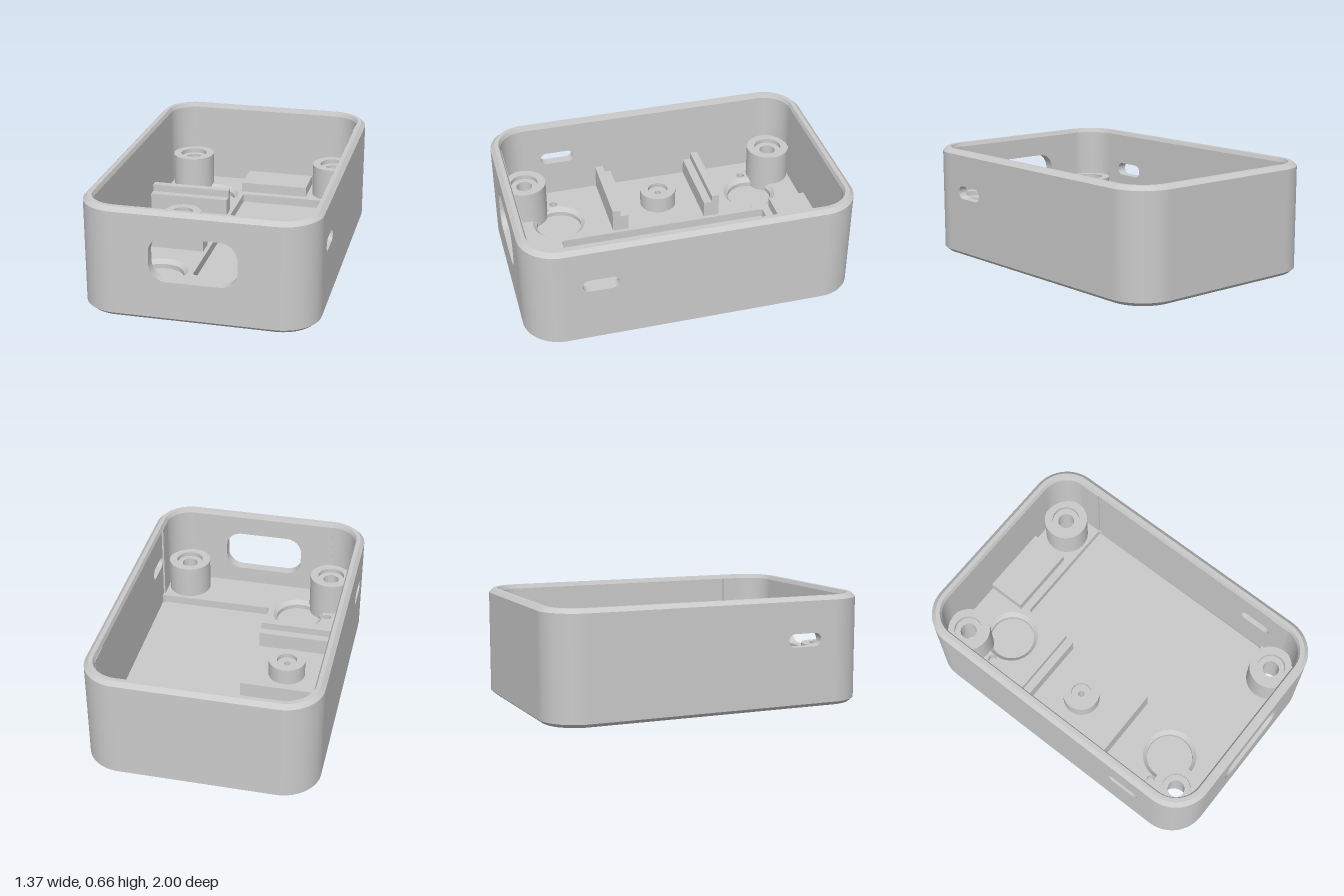
import * as THREE from 'three';
import { toCreasedNormals } from 'three/addons/utils/BufferGeometryUtils.js';

const CX = 0.46, CZ = 0.775;      // centres of the rounded corners
const FLOOR = 0.138, POCKET = 0.085; // inner floor heights
const WALL_LOW = 0.022, WALL_TOP = 0.636;

// Rounded rectangle centred on (x, y)
function roundRect(x, y, w, h, r, Type = THREE.Shape) {
  const s = new Type(), a = w / 2 - r, b = h / 2 - r, q = Math.PI / 2;
  s.absarc(x + a, y + b, r, 0, q);
  s.absarc(x - a, y + b, r, q, 2 * q);
  s.absarc(x - a, y - b, r, 2 * q, 3 * q);
  s.absarc(x + a, y - b, r, 3 * q, 4 * q);
  s.closePath();
  return s;
}
const circle = (x, z, r) => new THREE.Path().absarc(x, -z, r, 0, Math.PI * 2);
const extrude = (shape, depth) =>
  new THREE.ExtrudeGeometry(shape, { depth, bevelEnabled: false, curveSegments: 16 });
// Plan shape (x, -z) raised from y0 to y1
const slab = (shape, y0, y1) => extrude(shape, y1 - y0).rotateX(-Math.PI / 2).translate(0, y0, 0);

// Band swept round the case: profile of [corner radius, y]
function band(profile) {
  const pos = [], index = [], n = 16, ring = 4 * (n + 1);
  for (const [r, y] of profile)
    for (let c = 0; c < 4; c++)
      for (let i = 0; i <= n; i++) {
        const a = (c + i / n) * Math.PI / 2;
        const sx = c === 0 || c === 3 ? 1 : -1, sz = c < 2 ? 1 : -1;
        pos.push(sx * CX + r * Math.cos(a), y, sz * CZ + r * Math.sin(a));
      }
  for (let k = 0; k < profile.length - 1; k++)
    for (let i = 0; i < ring; i++) {
      const a = k * ring + i, b = k * ring + (i + 1) % ring;
      index.push(a, a + ring, b, b, a + ring, b + ring);
    }
  const g = new THREE.BufferGeometry();
  g.setAttribute('position', new THREE.Float32BufferAttribute(pos, 3));
  g.setIndex(index);
  return g;
}

export function createModel() {
  const model = new THREE.Group();
  model.name = 'enclosureBase';
  const grey = new THREE.MeshStandardMaterial({ color: 0xcacaca, side: THREE.DoubleSide });
  grey.name = 'grey plastic';

  const add = (name, geometry, x = 0, y = 0, z = 0) => {
    const mesh = new THREE.Mesh(toCreasedNormals(geometry, 0.5), grey);
    mesh.name = name;
    mesh.position.set(x, y, z);
    model.add(mesh);
  };
  const box = (name, x0, x1, y0, y1, z0, z1) =>
    add(name, new THREE.BoxGeometry(x1 - x0, y1 - y0, z1 - z0),
      (x0 + x1) / 2, (y0 + y1) / 2, (z0 + z1) / 2);
  const lathe = (name, points, x, z) =>
    add(name, new THREE.LatheGeometry(points.map(p => new THREE.Vector2(...p)), 48), x, 0, z);

  const posts = [];
  for (const sx of [-1, 1]) for (const sz of [-1, 1]) posts.push([sx * 0.48, sz * 0.81]);
  const cups = [[-0.297, -0.632], [-0.297, 0.632]];
  const middle = [-0.342, -0.027];

  // Floor in two layers, both pierced by screw holes and strap slots
  const floorShape = () => {
    const s = roundRect(0, 0, 1.32, 1.95, 0.2);
    for (const [x, z] of posts) s.holes.push(circle(x, z, 0.08));
    s.holes.push(circle(...middle, 0.04));
    for (const x of [-0.02, 0.224])
      s.holes.push(roundRect(x, 0.855, 0.11, 0.1, 0.03, THREE.Path));
    return s;
  };
  add('bottomPlate', slab(floorShape(), 0, POCKET));
  const upper = floorShape();
  upper.holes.push(roundRect(0.268, 0.002, 0.73, 1.31, 0.02, THREE.Path));
  for (const [x, z] of cups) {
    upper.holes.push(circle(x, z, 0.165));
    upper.holes.push(circle(-0.49, z, 0.025)); // small locating pit
  }
  add('innerFloor', slab(upper, POCKET, FLOOR));
  add('bottomChamfer', band([[0.2, 0], [0.225, WALL_LOW]]));

  // Flat walls with their openings
  const panel = (w) => {
    const s = new THREE.Shape();
    s.moveTo(-w, WALL_LOW).lineTo(w, WALL_LOW).lineTo(w, WALL_TOP).lineTo(-w, WALL_TOP);
    s.closePath();
    return s;
  };
  const front = panel(CX);
  front.holes.push(roundRect(0, 0.379, 0.505, 0.268, 0.1, THREE.Path));
  add('frontWall', extrude(front, 0.063), 0, 0, 0.937);
  add('backWall', extrude(panel(CX), 0.06), 0, 0, -1);
  const side = panel(CZ);
  side.holes.push(roundRect(-0.567, 0.405, 0.212, 0.08, 0.0395, THREE.Path));
  add('leftWall', extrude(side, 0.052).rotateY(Math.PI / 2), 0.633);
  add('rightWall', extrude(side, 0.06).rotateY(Math.PI / 2), -0.685);
  box('wallStep', 0.622, 0.64, FLOOR, WALL_TOP, -0.79, -0.657);
  box('wallStep', 0.622, 0.64, FLOOR, WALL_TOP, 0.675, 0.79);

  // Rounded wall corners
  for (let c = 0; c < 4; c++) {
    const a = c * Math.PI / 2, b = a + Math.PI / 2;
    const s = new THREE.Shape();
    s.absarc(0, 0, 0.225, a, b, false);
    s.absarc(0, 0, 0.165, b, a, true);
    s.closePath();
    const sx = c === 0 || c === 3 ? 1 : -1, sz = c < 2 ? -1 : 1;
    add('wallCorner', slab(s, WALL_LOW, WALL_TOP), sx * CX, 0, sz * CZ);
  }

  // Chamfered rim
  add('rim', band([[0.225, WALL_TOP], [0.2, 0.66], [0.175, 0.66], [0.165, WALL_TOP], [0.225, WALL_TOP]]));

  // Screw posts with counterbores above and below
  for (const [x, z] of posts)
    lathe('cornerPost', [[0.135, POCKET], [0.135, 0.348], [0.085, 0.348], [0.085, 0.32],
      [0.05, 0.32], [0.05, 0.2], [0.08, 0.2], [0.08, POCKET]], x, z);
  lathe('middlePost', [[0.113, FLOOR], [0.113, 0.243], [0.062, 0.243], [0.062, 0.215],
    [0.02, 0.215], [0.02, 0.03], [0.04, 0.03]], ...middle);

  // Round recesses with a sloped lip
  for (const [x, z] of cups)
    lathe('roundRecess', [[0.14, POCKET], [0.14, 0.113], [0.165, FLOOR]], x, z);

  // Stepped support rails, tall side outward
  box('railTall', -0.63, -0.12, FLOOR, 0.285, -0.37, -0.323);
  box('railLow', -0.63, -0.12, FLOOR, 0.24, -0.323, -0.273);
  box('railTall', -0.63, -0.12, FLOOR, 0.285, 0.27, 0.32);
  box('railLow', -0.63, -0.12, FLOOR, 0.24, 0.22, 0.27);

  // Raised block over the strap slots
  box('strapBlock', -0.118, 0.317, FLOOR, 0.2, -0.94, -0.705);

  return model;
}
